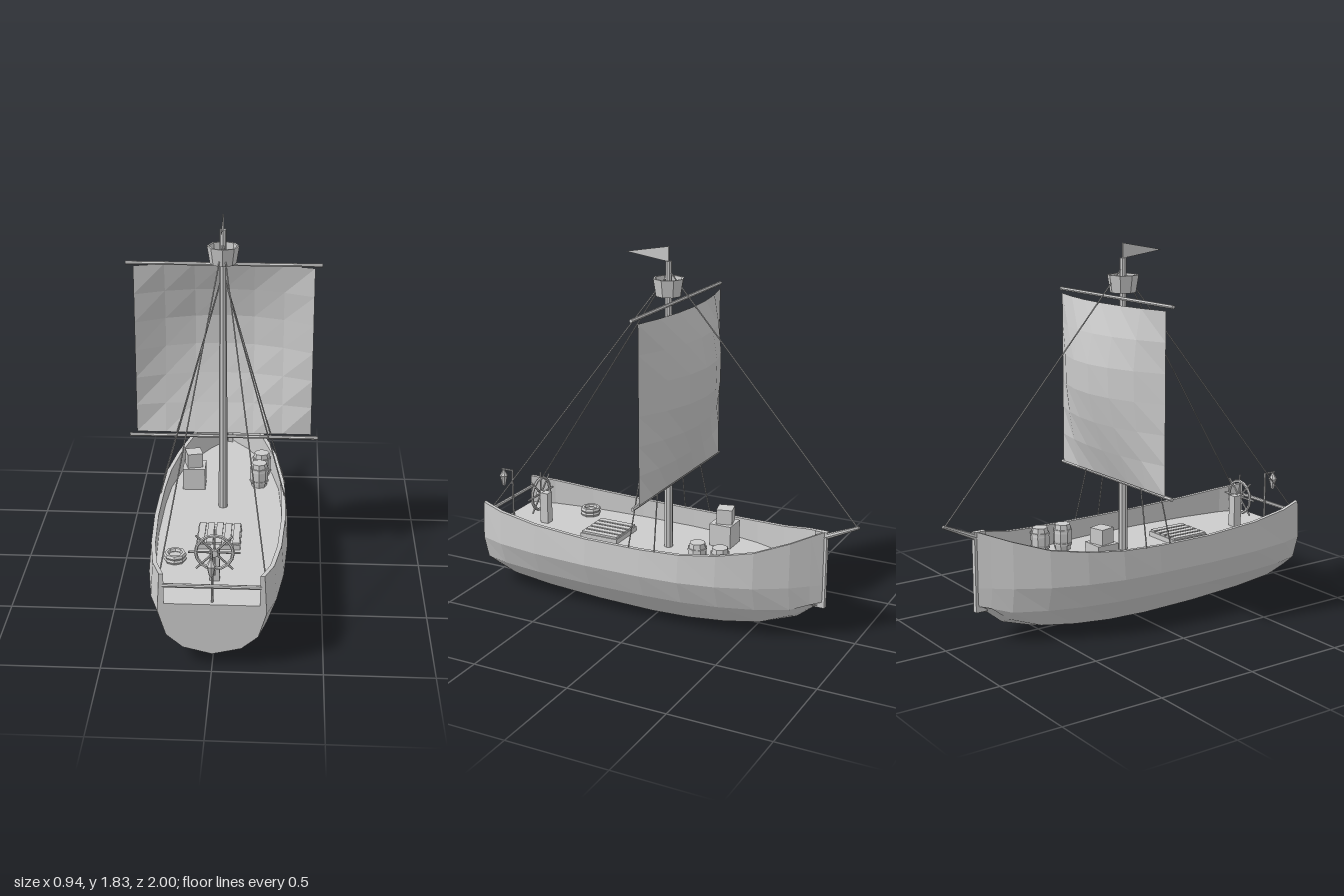
import * as THREE from 'three';

const material = new THREE.MeshStandardMaterial({ color: 0xcccccc, flatShading: true, side: THREE.DoubleSide });
const DECK = 0.315;
const V = (x, y, z) => new THREE.Vector3(x, y, z);

function add(parent, name, geometry, x = 0, y = 0, z = 0) {
  const mesh = new THREE.Mesh(geometry, material);
  mesh.name = name;
  mesh.position.set(x, y, z);
  parent.add(mesh);
  return mesh;
}

const box = (w, h, d) => new THREE.BoxGeometry(w, h, d);

// Round bar between two points
function rod(parent, name, a, b, r0, r1 = r0, sides = 6) {
  const dir = b.clone().sub(a);
  const mesh = add(parent, name, new THREE.CylinderGeometry(r1, r0, dir.length(), sides));
  mesh.position.copy(a).add(b).multiplyScalar(0.5);
  mesh.quaternion.setFromUnitVectors(V(0, 1, 0), dir.normalize());
  return mesh;
}

function lathe(points, sides) {
  return new THREE.LatheGeometry(points.map(p => new THREE.Vector2(...p)), sides);
}

// Hull stations from stern to bow: z, half width, keel height, sheer height
const STATIONS = [
  [0.95, 0.243, 0.06, 0.465], [0.82, 0.285, 0.033, 0.447], [0.6, 0.315, 0.018, 0.425],
  [0.3, 0.33, 0.006, 0.411], [0, 0.325, 0, 0.41], [-0.2, 0.31, 0.004, 0.415],
  [-0.38, 0.272, 0.014, 0.43], [-0.55, 0.21, 0.032, 0.455], [-0.7, 0.122, 0.08, 0.5],
  [-0.78, 0.055, 0.145, 0.528], [-0.83, 0.014, 0.155, 0.545],
];

// Closed cross-section: bulwark, planking, keel and deck
function section([, w, keel, top]) {
  const inner = Math.max(w * 0.96 - 0.02, 0.002);
  const half = [
    [inner, DECK], [inner, top], [w * 0.96, top], [w, 0.275],
    [w * 0.85, Math.max(0.155, keel + 0.03)], [w * 0.54, keel + 0.032],
  ];
  return [...half, [0, keel], ...half.slice().reverse().map(([x, y]) => [-x, y])];
}

function hullGeometry() {
  const rings = STATIONS.map(section), n = rings[0].length;
  const positions = [], index = [];
  rings.forEach((ring, i) => ring.forEach(([x, y]) => positions.push(x, y, STATIONS[i][0])));
  for (let i = 0; i < rings.length - 1; i++) {
    for (let j = 0; j < n; j++) {
      const a = i * n + j, b = i * n + (j + 1) % n;
      index.push(a, b, b + n, a, b + n, a + n);
    }
  }
  const g = new THREE.BufferGeometry();
  g.setAttribute('position', new THREE.Float32BufferAttribute(positions, 3));
  g.setIndex(index);
  g.computeVertexNormals();
  return g;
}

function buildHull(ship) {
  const hull = new THREE.Group();
  hull.name = 'hull';
  ship.add(hull);
  add(hull, 'planking', hullGeometry());
  const outline = section(STATIONS[0]).map(p => new THREE.Vector2(...p));
  add(hull, 'transom', new THREE.ShapeGeometry(new THREE.Shape(outline)), 0, 0, 0.95);
  add(hull, 'stemPost', box(0.026, 0.39, 0.06), 0, 0.35, -0.812);
  rod(hull, 'bowsprit', V(0, 0.505, -0.8), V(0, 0.595, -0.995), 0.016, 0.008, 8);
  rod(hull, 'sternRail', V(-0.22, 0.405, 0.945), V(0.22, 0.405, 0.945), 0.01, 0.01, 8);
}

function buildRig(ship) {
  const rig = new THREE.Group();
  rig.name = 'rig';
  ship.add(rig);
  rod(rig, 'mast', V(0, DECK, 0), V(0, 1.76, 0), 0.023, 0.016, 8);
  rod(rig, 'flagPole', V(0, 1.75, 0), V(0, 1.83, 0), 0.004);

  // Pennant
  const flag = new THREE.Shape([[0, 1.83], [0, 1.757], [-0.23, 1.788]].map(p => new THREE.Vector2(...p)));
  add(rig, 'flag', new THREE.ShapeGeometry(flag)).rotation.y = Math.PI / 2;

  // Lookout tub
  add(rig, 'crowsNest', lathe([[0, 1.595], [0.063, 1.595], [0.077, 1.68], [0.067, 1.68], [0.06, 1.615], [0, 1.615]], 8));

  // Yards
  for (const [name, y] of [['upperYard', 1.575], ['lowerYard', 0.68]]) {
    rod(rig, name, V(-0.47, y, -0.052), V(0.47, y, -0.052), 0.009, 0.009, 6);
  }

  // Billowing sail: belly depth per row, fading to the side edges
  const belly = [0.065, 0.11, 0.137, 0.132, 0.1, 0.055, 0];
  const sail = new THREE.PlaneGeometry(0.87, 0.865, 6, 6);
  const pos = sail.attributes.position;
  for (let i = 0; i < pos.count; i++) {
    const u = pos.getX(i) / 0.435;
    pos.setZ(i, -0.068 - belly[Math.floor(i / 7)] * (1 - u * u));
  }
  sail.computeVertexNormals();
  add(rig, 'sail', sail, 0, 1.1225, 0);

  // Stays and shrouds
  rod(rig, 'forestay', V(0, 1.72, 0), V(0, 0.592, -0.988), 0.0035, 0.0035, 5);
  for (const s of [-1, 1]) {
    rod(rig, 'backstay', V(0, 1.7, 0), V(s * 0.232, 0.455, 0.89), 0.0035, 0.0035, 5);
    for (const z of [0.06, -0.08]) {
      rod(rig, 'shroud', V(0, 1.55, 0), V(s * 0.31, 0.41, z), 0.0035, 0.0035, 5);
    }
  }
}

function buildWheel(ship) {
  const helm = new THREE.Group();
  helm.name = 'helm';
  ship.add(helm);
  add(helm, 'pedestal', box(0.045, 0.165, 0.045), 0, DECK + 0.0825, 0.72);
  const wheel = new THREE.Group();
  wheel.name = 'steeringWheel';
  wheel.position.set(0, 0.467, 0.75);
  helm.add(wheel);
  add(wheel, 'rim', new THREE.TorusGeometry(0.085, 0.008, 6, 16));
  add(wheel, 'hub', new THREE.CylinderGeometry(0.018, 0.018, 0.035, 8)).rotation.x = Math.PI / 2;
  for (let i = 0; i < 8; i++) {
    const a = i * Math.PI / 4;
    rod(wheel, 'spoke', V(0, 0, 0), V(Math.cos(a) * 0.118, Math.sin(a) * 0.118, 0), 0.005);
  }
}

function buildLantern(ship) {
  const lamp = new THREE.Group();
  lamp.name = 'sternLantern';
  ship.add(lamp);
  rod(lamp, 'lanternPost', V(0, DECK, 0.925), V(0, 0.57, 0.925), 0.006);
  rod(lamp, 'lanternArm', V(0, 0.566, 0.92), V(0, 0.566, 0.99), 0.005);
  add(lamp, 'lantern', lathe([[0, 0.468], [0.01, 0.48], [0.02, 0.525], [0.023, 0.53], [0.006, 0.56], [0, 0.57]], 8), 0, 0, 0.98);
}

function buildCargo(ship) {
  const cargo = new THREE.Group();
  cargo.name = 'deckCargo';
  ship.add(cargo);

  // Stacked crates
  add(cargo, 'largeCrate', box(0.115, 0.115, 0.115), -0.16, DECK + 0.0575, -0.235);
  add(cargo, 'smallCrate', box(0.08, 0.076, 0.08), -0.163, 0.468, -0.238).rotation.y = 0.25;

  // Barrels with hoops
  for (const [x, z] of [[0.185, -0.37], [0.175, -0.245]]) {
    const barrel = new THREE.Group();
    barrel.name = 'barrel';
    barrel.position.set(x, DECK, z);
    cargo.add(barrel);
    add(barrel, 'staves', lathe([[0, 0], [0.039, 0], [0.047, 0.045], [0.047, 0.085], [0.039, 0.13], [0, 0.13]], 8));
    for (const y of [0.03, 0.1]) {
      add(barrel, 'hoop', new THREE.CylinderGeometry(0.049, 0.049, 0.01, 8), 0, y, 0);
    }
  }

  // Slatted hatch
  add(cargo, 'hatchFrame', box(0.21, 0.025, 0.21), 0, DECK + 0.0125, 0.345);
  for (let i = 0; i < 5; i++) {
    add(cargo, 'hatchSlat', box(0.032, 0.01, 0.2), (i - 2) * 0.042, DECK + 0.03, 0.345);
  }

  // Coiled rope
  for (let i = 0; i < 2; i++) {
    const coil = add(cargo, 'ropeCoil', new THREE.TorusGeometry(0.042, 0.013, 6, 8), -0.195, DECK + 0.013 + i * 0.02, 0.565);
    coil.rotation.x = Math.PI / 2;
  }
  add(cargo, 'ropeCoilCore', new THREE.CylinderGeometry(0.042, 0.042, 0.03, 8), -0.195, DECK + 0.015, 0.565);
}

export function createModel() {
  const ship = new THREE.Group();
  ship.name = 'sailingShip';
  buildHull(ship);
  buildRig(ship);
  buildWheel(ship);
  buildLantern(ship);
  buildCargo(ship);
  return ship;
}
